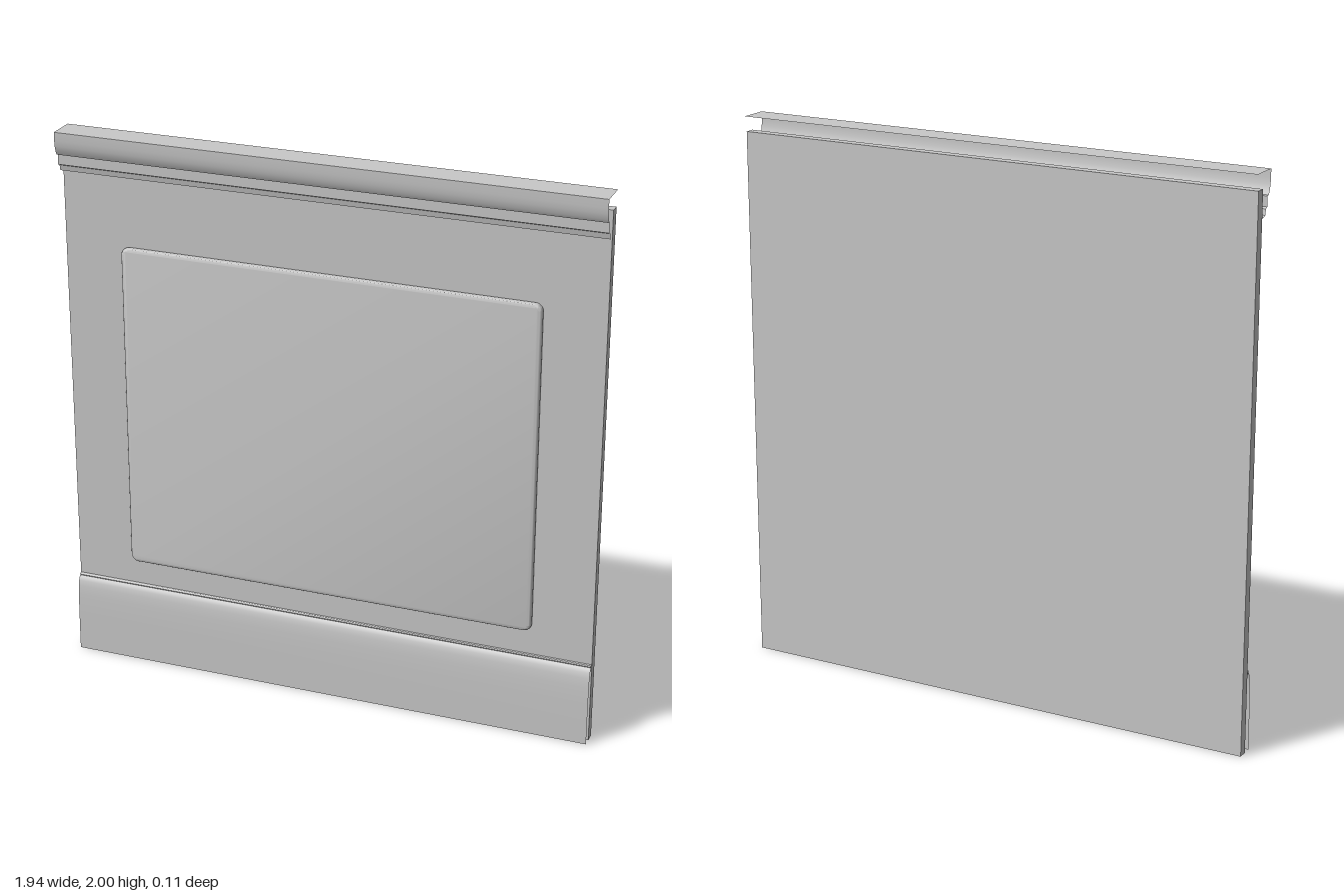
import * as THREE from 'three';
import { toCreasedNormals } from 'three/addons/utils/BufferGeometryUtils.js';

const HALF = 0.971;

// Open moulding: a (z, y) profile swept along the full width, ends left open
function moulding(profile) {
  const pos = [];
  for (let i = 0; i < profile.length - 1; i++) {
    const [z0, y0] = profile[i], [z1, y1] = profile[i + 1];
    pos.push(-HALF, y0, z0, -HALF, y1, z1, HALF, y1, z1);
    pos.push(-HALF, y0, z0, HALF, y1, z1, HALF, y0, z0);
  }
  const geo = new THREE.BufferGeometry();
  geo.setAttribute('position', new THREE.Float32BufferAttribute(pos, 3));
  return toCreasedNormals(geo, 0.6);
}

// Rectangle with rounded corners, centred on the origin
function roundedRect(w, h, r) {
  const s = new THREE.Shape();
  const x = w / 2 - r, y = h / 2 - r;
  s.absarc(x, y, r, 0, Math.PI / 2);
  s.absarc(-x, y, r, Math.PI / 2, Math.PI);
  s.absarc(-x, -y, r, Math.PI, Math.PI * 1.5);
  s.absarc(x, -y, r, Math.PI * 1.5, Math.PI * 2);
  s.closePath();
  return s;
}

export function createModel() {
  const group = new THREE.Group();
  const paint = new THREE.MeshStandardMaterial({ color: 0xc8c8c8, side: THREE.DoubleSide });
  paint.name = 'grey paint';

  const add = (name, geo) => {
    const mesh = new THREE.Mesh(geo, paint);
    mesh.name = name;
    group.add(mesh);
    return mesh;
  };

  // Flat backing board
  add('backBoard', new THREE.BoxGeometry(HALF * 2, 1.945, 0.035)).position.set(0, 0.9725, -0.0275);

  // Raised field with a softly rounded rim
  const bevel = 0.012;
  const field = new THREE.ExtrudeGeometry(roundedRect(1.51 - 2 * bevel, 1.205 - 2 * bevel, 0.016), {
    depth: 0.004, bevelEnabled: true, bevelThickness: bevel, bevelSize: bevel,
    bevelSegments: 4, curveSegments: 5,
  });
  add('raisedPanel', toCreasedNormals(field, 0.6)).position.set(0, 0.9975, -0.002);

  // Cap rail: flat shelf, curved nose, then a stepped fillet back to the board
  add('capRail', moulding([
    [-0.055, 2], [0.05, 2], [0.05, 1.97], [0.048, 1.95], [0.043, 1.93], [0.036, 1.917],
    [0.028, 1.915], [0.028, 1.88], [0.018, 1.875], [0.014, 1.855], [-0.01, 1.848],
  ]));

  // Skirting with a small bead and an eased top
  add('baseboard', moulding([
    [-0.01, 0.3], [-0.003, 0.299], [-0.001, 0.295], [-0.003, 0.291], [0.003, 0.287],
    [0.009, 0.275], [0.013, 0.255], [0.016, 0.22], [0.018, 0.15], [0.019, 0],
  ]));

  return group;
}
